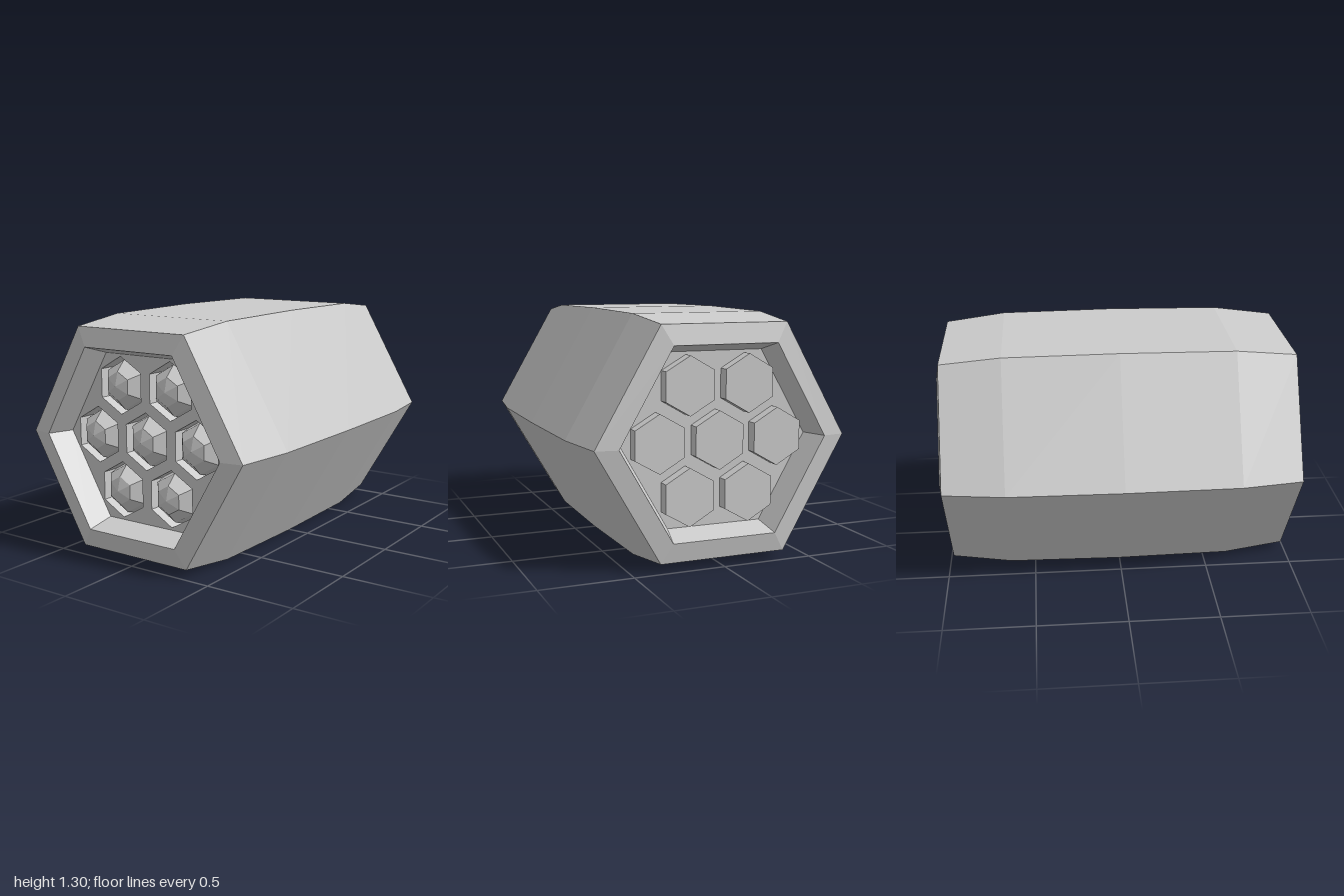
import * as THREE from 'three';

const CENTER_Y = 0.652;
const FLOOR = 0.86; // depth of the recessed end panels
const CELL_R = 0.157;
const SPACING = 0.333;

// Hexagon corners; start = 0 puts a corner on +x, PI / 6 puts one on +y
function hexPoints(r, start, cx = 0, cy = 0) {
  return Array.from({ length: 6 }, (_, i) => {
    const a = start + (i * Math.PI) / 3;
    return new THREE.Vector2(cx + r * Math.cos(a), cy + r * Math.sin(a));
  });
}

export function createModel() {
  const model = new THREE.Group();
  model.name = 'hexagonalPod';
  const material = new THREE.MeshStandardMaterial({ color: 0xcccccc, flatShading: true });

  const add = (name, geometry, x = 0, y = 0, z = 0) => {
    const mesh = new THREE.Mesh(geometry, material);
    mesh.name = name;
    mesh.position.set(x, CENTER_Y + y, z);
    model.add(mesh);
  };

  // Bulging six-sided casing with bevelled rims and a closed rear recess
  const profile = [
    [0, -FLOOR], [0.53, -FLOOR], [0.578, -1], [0.7, -0.98], [0.745, -0.64], [0.753, 0],
    [0.745, 0.64], [0.7, 0.98], [0.578, 1], [0.53, FLOOR],
  ].map(([r, z]) => new THREE.Vector2(r, z));
  const casing = new THREE.LatheGeometry(profile, 6, Math.PI / 6);
  casing.rotateX(Math.PI / 2);
  add('casing', casing);

  // One central cell surrounded by six
  const cells = [[0, 0]];
  for (let i = 0; i < 6; i++) {
    const a = (i * Math.PI) / 3;
    cells.push([SPACING * Math.cos(a), SPACING * Math.sin(a)]);
  }

  // Front panel with hexagonal tube openings
  const panel = new THREE.Shape(hexPoints(0.53, 0));
  for (const [x, y] of cells) panel.holes.push(new THREE.Path(hexPoints(CELL_R, Math.PI / 6, x, y)));
  add('frontPanel', new THREE.ExtrudeGeometry(panel, { depth: 0.12, bevelEnabled: false }), 0, 0, FLOOR - 0.12);

  // Faceted domed head inside each tube
  const head = new THREE.SphereGeometry(CELL_R, 6, 3, 0, Math.PI * 2, 0, Math.PI / 2);
  head.rotateY(Math.PI / 6);
  head.rotateX(Math.PI / 2);

  // Flat hexagonal tube end standing out of the rear panel
  const cap = new THREE.CylinderGeometry(0.155, 0.155, 0.075, 6);
  cap.rotateX(Math.PI / 2);

  for (const [x, y] of cells) {
    add('domedHead', head, x, y, 0.75);
    add('rearCap', cap, x, y, -FLOOR - 0.028);
  }
  return model;
}
